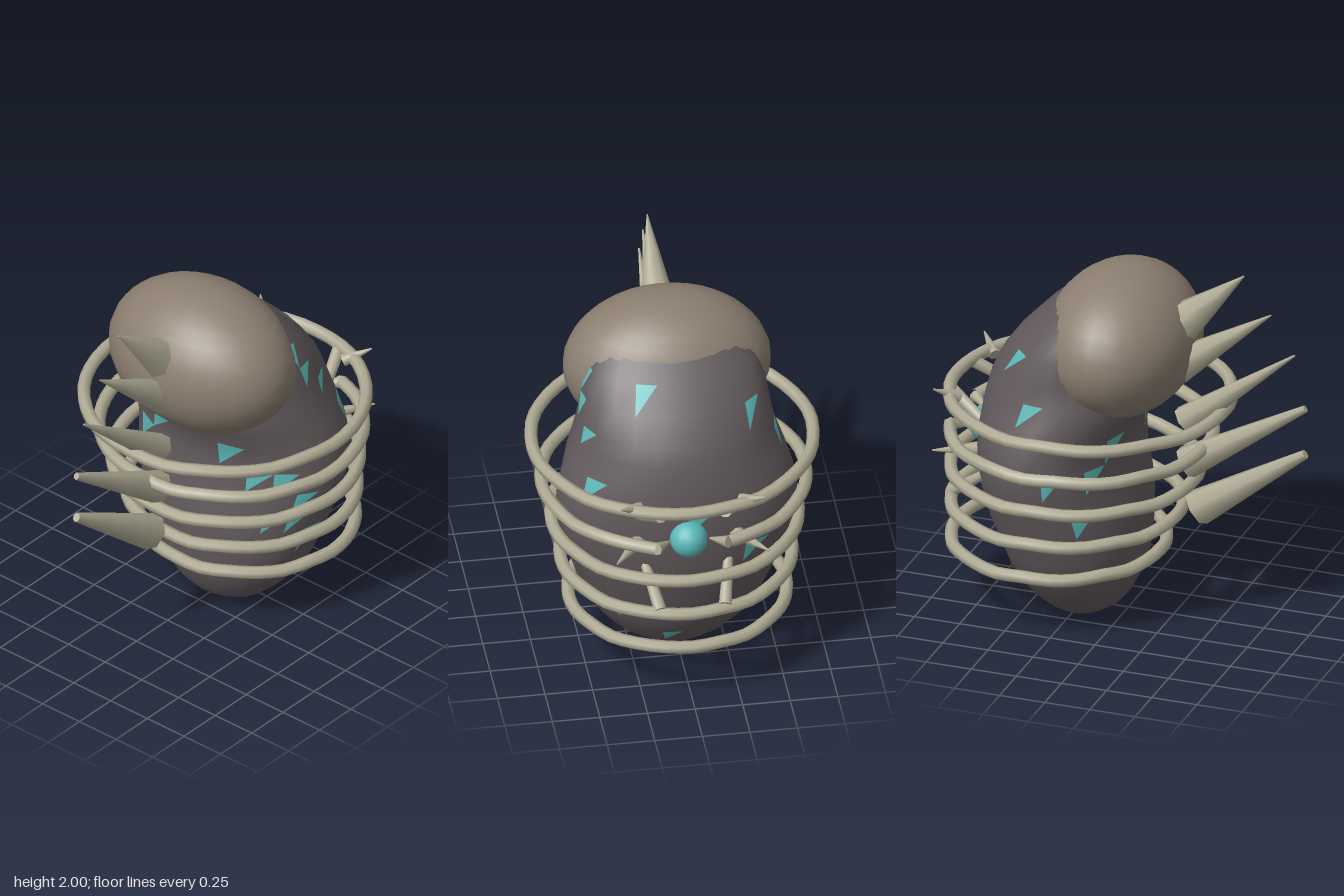
import * as THREE from 'three';

const mat = (color) => new THREE.MeshStandardMaterial({ color });
const skin = mat(0x625a5c), headSkin = mat(0x8c7f71), bone = mat(0xb0ab95), teal = mat(0x5cb8b8);
const V = (x, y, z) => new THREE.Vector3(x, y, z);

function add(group, name, geometry, material) {
  const mesh = new THREE.Mesh(geometry, material);
  mesh.name = name;
  group.add(mesh);
  return mesh;
}

// Torso: horizontal oval sections [y, back z, front z, half width]
const SECTIONS = [
  [0, -0.38, -0.1, 0.17], [0.04, -0.43, -0.04, 0.24], [0.1, -0.5, 0.01, 0.31], [0.2, -0.58, 0.06, 0.4],
  [0.3, -0.63, 0.09, 0.46], [0.42, -0.67, 0.1, 0.51], [0.58, -0.73, 0.1, 0.56], [0.7, -0.755, 0.08, 0.595],
  [0.82, -0.77, 0.05, 0.625], [0.95, -0.775, 0.04, 0.635], [1.08, -0.77, 0.05, 0.61], [1.2, -0.75, 0.13, 0.57],
  [1.32, -0.72, 0.16, 0.525], [1.42, -0.675, 0.12, 0.505], [1.55, -0.58, 0.1, 0.485], [1.68, -0.455, 0.08, 0.44],
  [1.79, -0.33, 0.05, 0.36], [1.87, -0.23, 0.02, 0.26], [1.92, -0.15, 0, 0.13],
];
// Glowing spots as [row, column] of the torso surface
const SPOTS = [[8, 2], [8, 21], [9, 1], [9, 22], [8, 3], [6, 3], [6, 4], [7, 4], [5, 5], [6, 20], [8, 19],
  [13, 6], [14, 6], [12, 7], [10, 8], [14, 10], [11, 17], [13, 15], [7, 14], [4, 9], [9, 12], [2, 11]];

function torsoGeometry() {
  const n = 24, pos = [], plain = [], spots = [];
  for (const [y, back, front, w] of SECTIONS) {
    for (let j = 0; j < n; j++) {
      const a = (j / n) * Math.PI * 2;
      pos.push(w * Math.sin(a), y, (back + front) / 2 + ((front - back) / 2) * Math.cos(a));
    }
  }
  for (let i = 0; i < SECTIONS.length - 1; i++) {
    for (let j = 0; j < n; j++) {
      const a = i * n + j, b = i * n + ((j + 1) % n), c = b + n, d = a + n;
      const lit = SPOTS.some(([r, k]) => r === i && k === j);
      plain.push(a, b, c);
      (lit ? spots : plain).push(a, c, d);
    }
  }
  // Close both ends
  const top = (SECTIONS.length - 1) * n;
  for (let j = 1; j < n - 1; j++) plain.push(0, j + 1, j, top, top + j, top + j + 1);
  const g = new THREE.BufferGeometry();
  g.setAttribute('position', new THREE.Float32BufferAttribute(pos, 3));
  g.setIndex([...plain, ...spots]);
  g.addGroup(0, plain.length, 0);
  g.addGroup(plain.length, spots.length, 1);
  g.computeVertexNormals();
  return g;
}

// Tapered spike between two points
function spike(group, name, from, to, r0, r1, squash = 1) {
  const dir = to.clone().sub(from), len = dir.length();
  const g = new THREE.CylinderGeometry(r1, r0, len, 7, 3).scale(squash, 1, 1);
  const m = add(group, name, g, bone);
  m.position.copy(from).addScaledVector(dir, 0.5);
  m.quaternion.setFromUnitVectors(V(0, 1, 0), dir.normalize());
}

// Oval rib ring round the body, optionally open by a gap at the back
function rib(group, name, y, front, halfWidth, gap) {
  const r = 0.035, back = -0.98, pts = [], n = 24;
  const rx = halfWidth - r, rz = (front - back) / 2 - r, cz = (front + back) / 2;
  for (let i = 0; i < n + (gap ? 1 : 0); i++) {
    const a = Math.PI + gap + (i / n) * (Math.PI * 2 - 2 * gap);
    pts.push(V(rx * Math.sin(a), y + 0.006 * Math.sin(i * 2.3), cz + rz * Math.cos(a)));
  }
  const curve = new THREE.CatmullRomCurve3(pts, !gap);
  add(group, name, new THREE.TubeGeometry(curve, 48, r, 7, !gap), bone);
  if (gap) {
    // Pointed ends turning in toward the body
    for (const p of [pts[0], pts[n]]) {
      spike(group, 'ribEnd', p, V(p.x * 0.55, y - 0.03, p.z + 0.09), r, 0.006);
    }
  }
}

export function createModel() {
  const model = new THREE.Group();
  model.name = 'ribbedCreature';

  add(model, 'torso', torsoGeometry(), [skin, teal]);

  // Head
  const head = add(model, 'head', new THREE.SphereGeometry(1, 28, 18), headSkin);
  head.scale.set(0.545, 0.4, 0.4);
  head.position.set(0, 1.545, -0.03);

  // Rib rings: y, front z, half width, back gap
  const ribs = new THREE.Group();
  ribs.name = 'ribs';
  model.add(ribs);
  [[1.2, 0.56, 0.77, 0], [0.985, 0.46, 0.725, 0.28], [0.775, 0.39, 0.68, 0],
    [0.565, 0.3, 0.64, 0], [0.355, 0.21, 0.605, 0]].forEach((p, i) => rib(ribs, `rib${i + 1}`, ...p));

  // Row of front spikes: base y, base z, tip y, tip z, base radius, tip radius
  const spikes = new THREE.Group();
  spikes.name = 'frontSpikes';
  model.add(spikes);
  [[1.62, 0.23, 2.0, 0.64, 0.13, 0.004], [1.42, 0.26, 1.8, 0.79, 0.1, 0.004],
    [1.12, 0.31, 1.59, 0.92, 0.08, 0.006], [0.88, 0.32, 1.295, 0.98, 0.09, 0.02],
    [0.63, 0.38, 1.035, 0.98, 0.1, 0.025]].forEach(([y, z, ty, tz, r0, r1], i) =>
    spike(spikes, `frontSpike${i + 1}`, V(0, y, z), V(0, ty, tz), r0, r1, 0.85));

  // Back orb and the struts and thorns around it
  const orb = add(model, 'backOrb', new THREE.SphereGeometry(0.1, 14, 10), teal);
  orb.position.set(0, 0.93, -0.78);
  const thorns = new THREE.Group();
  thorns.name = 'backThorns';
  model.add(thorns);
  for (const s of [-1, 1]) {
    spike(thorns, 'upperStrut', V(s * 0.17, 1.19, -0.93), V(s * 0.25, 1.05, -0.7), 0.035, 0.03);
    spike(thorns, 'lowerStrut', V(s * 0.17, 0.59, -0.92), V(s * 0.22, 0.75, -0.7), 0.035, 0.025);
    spike(thorns, 'upperThorn', V(s * 0.27, 1.19, -0.84), V(s * 0.38, 1.26, -0.94), 0.035, 0.004);
    spike(thorns, 'sideThorn', V(s * 0.24, 0.9, -0.7), V(s * 0.4, 0.92, -0.94), 0.045, 0.004);
  }
  return model;
}
